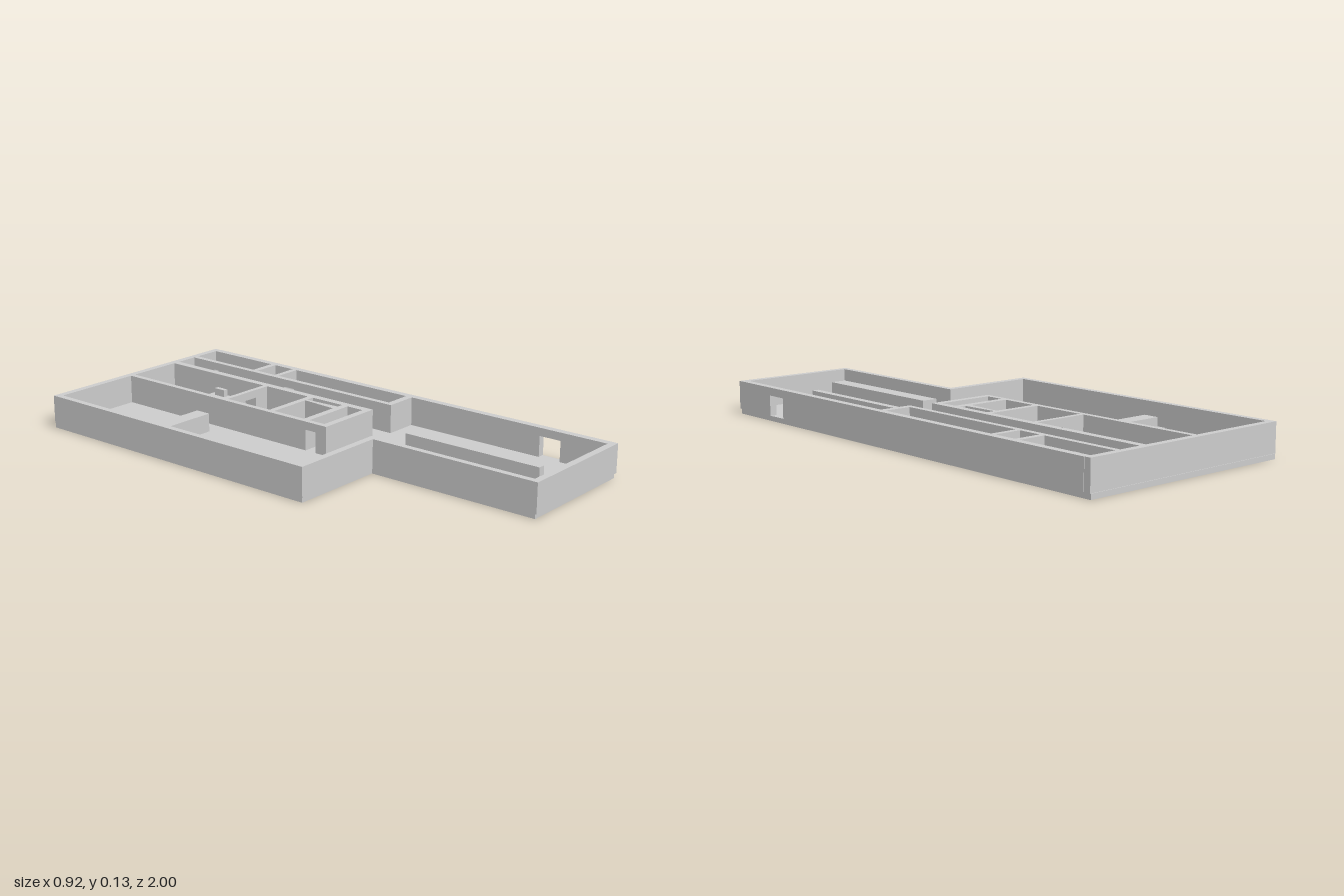
import * as THREE from 'three';

const FLOOR = 0.02, DOOR = 0.102, TOP = 0.134;
const mat = new THREE.MeshStandardMaterial({ color: 0xcccccc, flatShading: true });

function block(parent, name, x0, x1, y0, y1, z0, z1) {
  const m = new THREE.Mesh(new THREE.BoxGeometry(x1 - x0, y1 - y0, z1 - z0), mat);
  m.position.set((x0 + x1) / 2, (y0 + y1) / 2, (z0 + z1) / 2);
  m.name = name;
  parent.add(m);
}

// Extrude a plan outline of [x, z] corners upwards from y0 to y1
function slab(parent, name, pts, y0, y1) {
  const shape = new THREE.Shape(pts.map(([x, z]) => new THREE.Vector2(x, -z)));
  const g = new THREE.ExtrudeGeometry(shape, { depth: y1 - y0, bevelEnabled: false });
  g.rotateX(-Math.PI / 2).translate(0, y0, 0);
  const m = new THREE.Mesh(g, mat);
  m.name = name;
  parent.add(m);
}

// Full-height wall with doorways given as [start, end] along its longer side
function wall(parent, name, x0, x1, z0, z1, doors = []) {
  const group = new THREE.Group();
  group.name = name;
  const alongX = x1 - x0 > z1 - z0;
  const piece = (part, a, b, y0, y1) => alongX
    ? block(group, part, a, b, y0, y1, z0, z1)
    : block(group, part, x0, x1, y0, y1, a, b);
  let from = alongX ? x0 : z0;
  for (const [a, b] of doors) {
    piece('wallSection', from, a, FLOOR, TOP);
    piece('lintel', a, b, DOOR, TOP);
    from = b;
  }
  piece('wallSection', from, alongX ? x1 : z1, FLOOR, TOP);
  parent.add(group);
}

export function createModel() {
  const model = new THREE.Group();
  model.name = 'floorPlan';

  // Ground slab
  slab(model, 'floor', [[-0.457, -1], [0.457, -1], [0.457, 0.993], [-0.068, 0.993],
    [-0.068, 0.295], [-0.457, 0.295]], 0, FLOOR);

  // Outer walls
  const outer = new THREE.Group();
  outer.name = 'outerWalls';
  model.add(outer);
  wall(outer, 'backWall', -0.462, 0.457, -0.997, -0.97);
  wall(outer, 'rightLongWall', -0.462, -0.437, -0.97, 0.3);
  wall(outer, 'innerCornerWall', -0.437, -0.047, 0.273, 0.3);
  wall(outer, 'entranceSideWall', -0.072, -0.047, 0.3, 0.973);
  wall(outer, 'frontWall', -0.072, 0.459, 0.973, 1);
  wall(outer, 'leftLongWall', 0.43, 0.459, -0.97, 0.973, [[0.69, 0.78]]);

  // Central row of rooms
  const core = new THREE.Group();
  core.name = 'centralRooms';
  model.add(core);
  wall(core, 'coreRightWall', -0.073, -0.05, -0.97, 0.08, [[-0.02, 0.03]]);
  wall(core, 'coreLeftWall', 0.176, 0.206, -0.97, 0.08, [[-0.18, -0.125]]);
  wall(core, 'officeWall', -0.05, 0.176, -0.46, -0.44, [[0.05, 0.11]]);
  wall(core, 'middleWall', -0.05, 0.176, -0.222, -0.197);
  wall(core, 'closetWall', -0.05, 0.176, -0.048, -0.02);
  wall(core, 'coreFrontWall', -0.05, 0.176, 0.053, 0.08);
  slab(core, 'slantedWall', [[0.13, -0.197], [0.142, -0.197], [0.15, -0.048], [0.12, -0.048]], FLOOR, TOP);

  // Row of rooms beyond the corridor
  const side = new THREE.Group();
  side.name = 'sideRooms';
  model.add(side);
  wall(side, 'corridorWall', 0.296, 0.319, -0.97, 0.098, [[-0.85, -0.79], [-0.455, -0.4]]);
  wall(side, 'sideBackPartition', 0.319, 0.43, -0.646, -0.622);
  wall(side, 'sideMiddlePartition', 0.319, 0.43, -0.526, -0.504);
  wall(side, 'sideFrontWall', 0.319, 0.43, 0.07, 0.098);

  // Furniture
  const furniture = new THREE.Group();
  furniture.name = 'furniture';
  model.add(furniture);
  block(furniture, 'sideboard', -0.047, 0.02, FLOOR, 0.085, 0.36, 0.973);
  block(furniture, 'counter', 0.176, 0.206, FLOOR, 0.085, 0.262, 0.852);
  block(furniture, 'stageStep', -0.377, -0.143, FLOOR, 0.058, -0.558, -0.52);
  block(furniture, 'stage', -0.377, -0.143, FLOOR, 0.093, -0.52, -0.456);
  block(furniture, 'desk', 0.062, 0.176, FLOOR, 0.053, -0.732, -0.622);
  block(furniture, 'deskBox', 0.147, 0.166, 0.053, 0.082, -0.705, -0.652);
  const post = new THREE.Mesh(new THREE.CylinderGeometry(0.007, 0.007, 0.05, 16), mat);
  post.position.set(0.415, FLOOR + 0.025, -0.605);
  post.name = 'smallPost';
  furniture.add(post);

  return model;
}
